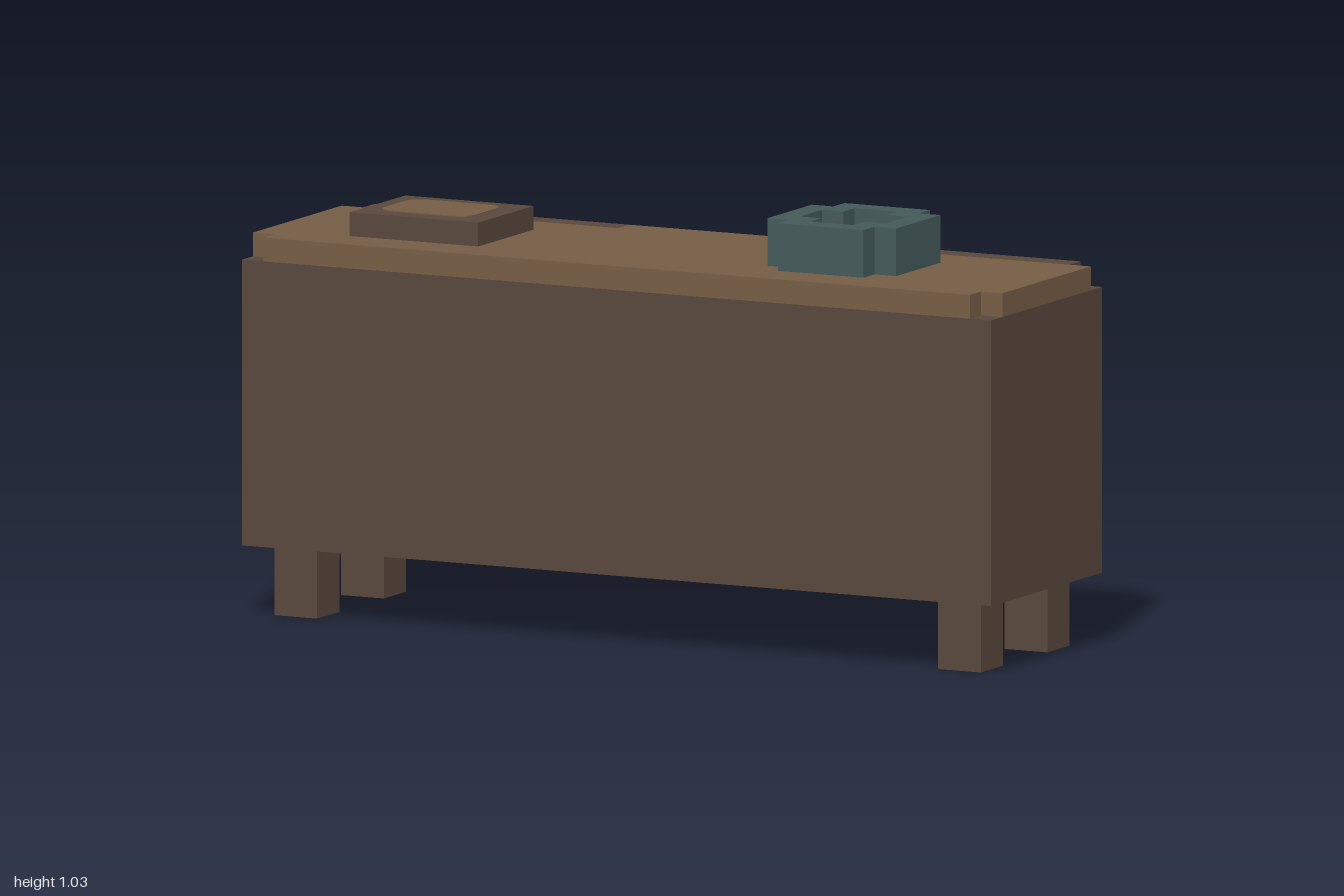
import * as THREE from 'three';

const U = 2 / 35; // one block

export function createModel() {
  const model = new THREE.Group();
  model.name = 'sideboard';
  const mat = (name, color) => {
    const m = new THREE.MeshStandardMaterial({ color });
    m.name = name;
    return m;
  };
  const dark = mat('dark wood', 0x58473c);
  const light = mat('light wood', 0x765d45);
  const teal = mat('teal glaze', 0x445959);
  const pale = mat('pale lining', 0xb0a690);

  // Box given by its limits, in blocks
  const box = (name, m, [x0, x1], [y0, y1], [z0, z1], parent = model) => {
    const g = new THREE.BoxGeometry((x1 - x0) * U, (y1 - y0) * U, (z1 - z0) * U);
    const mesh = new THREE.Mesh(g, m);
    mesh.position.set((x0 + x1) / 2 * U, (y0 + y1) / 2 * U, (z0 + z1) / 2 * U);
    mesh.name = name;
    parent.add(mesh);
    return mesh;
  };

  // Thin painted plate with rounded corners, facing +z before turning
  const plate = (name, m, w, h, r) => {
    const x = w / 2, y = h / 2;
    const s = new THREE.Shape();
    s.moveTo(-x + r, -y).lineTo(x - r, -y).quadraticCurveTo(x, -y, x, -y + r)
      .lineTo(x, y - r).quadraticCurveTo(x, y, x - r, y)
      .lineTo(-x + r, y).quadraticCurveTo(-x, y, -x, y - r)
      .lineTo(-x, -y + r).quadraticCurveTo(-x, -y, -x + r, -y);
    const g = new THREE.ExtrudeGeometry(s, { depth: 0.04, bevelEnabled: false, curveSegments: 4 });
    const mesh = new THREE.Mesh(g.scale(U, U, U), m);
    mesh.name = name;
    model.add(mesh);
    return mesh;
  };

  // Cabinet body with an open framework on the drawer side
  const frameZ = [-2.5, 0.5];
  box('cabinetBody', dark, [-17.5, 17.5], [3, 15], [0.5, 7.5]);
  box('bottomRail', dark, [-17.5, 17.5], [3, 4], frameZ);
  box('middleRail', dark, [-16.5, 16.5], [11, 12], frameZ);
  box('doorDivider', dark, [-0.5, 0.5], [4, 11], frameZ);
  for (const s of [-1, 1]) {
    const span = (a, b) => (s > 0 ? [a, b] : [-b, -a]);
    box('sidePanel', dark, span(16.5, 17.5), [4, 15], frameZ);
    box('drawerDivider', dark, span(5.5, 6.5), [12, 15], frameZ);
    // Doors with painted panels and knobs
    box('door', light, span(0.5, 16.5), [4, 11], [-1.5, 0.5]);
    const panel = plate('doorPanel', dark, 14, 5, 0.9);
    panel.rotation.y = Math.PI;
    panel.position.set(s * 8.5 * U, 7.5 * U, -1.5 * U);
    box('doorKnob', light, span(1.5, 2.5), [7, 8], [-2.5, -1.5]);
    // Legs
    for (const z of [-1.5, 4.5]) box('leg', dark, span(14.5, 16.5), [0, 3], [z, z + 2]);
    // Dark strips on the edge of the top
    box('topDarkEdge', dark, span(4.6, 16.5), [15, 16], [-2.5, -1.5]);
  }

  // Top board with notched corners
  box('topBoard', light, [-17.5, 17.5], [15, 16], [-1.5, 6.5]);
  box('topFrontEdge', light, [-16.5, 16.5], [15, 16], [6.5, 7.5]);
  box('topBackEdge', light, [-4.6, 4.6], [15, 16], [-2.5, -1.5]);

  // Closed drawers
  box('drawerFront', light, [6.5, 16.5], [12, 15], [-1.5, 0.5]);
  box('drawerFront', light, [-5.5, 5.5], [12, 15], [-1.5, 0.5]);
  for (const x of [10.5, -0.5]) box('drawerHandle', light, [x - 1, x + 1], [13, 14], [-2.5, -1.5]);

  // Open drawer
  const drawer = new THREE.Group();
  drawer.name = 'openDrawer';
  model.add(drawer);
  box('openDrawerFront', light, [-16.5, -6.5], [12, 15], [-6.5, -5.5], drawer);
  box('openDrawerSide', light, [-16.5, -15.5], [12, 14], [-5.5, 0.5], drawer);
  box('openDrawerSide', light, [-7.5, -6.5], [12, 14], [-5.5, 0.5], drawer);
  box('openDrawerFloor', pale, [-15.5, -7.5], [12.03, 12.15], [-5.5, 0.5], drawer);
  box('openDrawerHandle', light, [-12.5, -10.5], [13, 14], [-7.5, -6.5], drawer);

  // Tray lying on the top
  box('tray', dark, [-13.5, -7.5], [16, 17], [0.5, 5.5]);
  const inlay = plate('trayInlay', light, 4.3, 3.3, 0.8);
  inlay.rotation.x = -Math.PI / 2;
  inlay.position.set(-10.6 * U, 17 * U, 2.9 * U);

  // Stepped bowl: cross-shaped ring around a cross-shaped hollow
  const cross = (T, a, b) => {
    const p = [[a, b], [b, b], [b, a], [-b, a], [-b, b], [-a, b],
      [-a, -b], [-b, -b], [-b, -a], [b, -a], [b, -b], [a, -b]];
    return new T(p.map(([x, y]) => new THREE.Vector2(x * U, y * U)));
  };
  const addCross = (name, shape, y, h) => {
    const g = new THREE.ExtrudeGeometry(shape, { depth: h * U, bevelEnabled: false });
    const mesh = new THREE.Mesh(g.rotateX(-Math.PI / 2), teal);
    mesh.name = name;
    mesh.position.set(8.5 * U, y * U, 2.5 * U);
    model.add(mesh);
  };
  const ring = cross(THREE.Shape, 3, 2);
  ring.holes.push(cross(THREE.Path, 2, 1));
  addCross('bowlRim', ring, 16, 2);
  addCross('bowlFloor', cross(THREE.Shape, 2, 1), 16, 1);

  return model;
}
